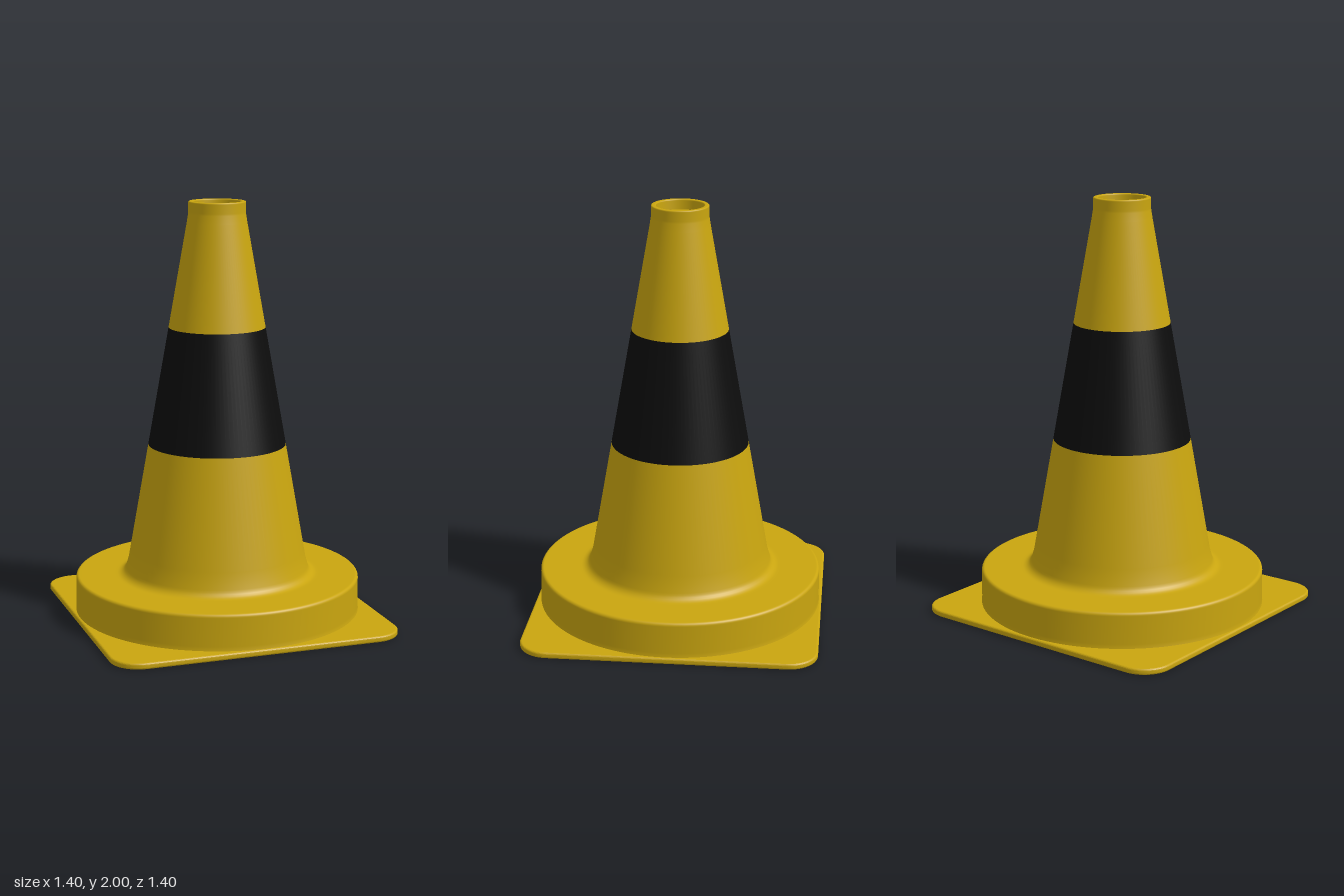
import * as THREE from 'three';

const yellow = new THREE.MeshStandardMaterial({ color: 0xc9a50f });
const black = new THREE.MeshStandardMaterial({ color: 0x0d0d0d });

// Radius of the tapering cone wall at height y
const coneRadius = (y) => 0.33 - (y - 0.84) * 0.177;

function lathe(name, points, material) {
  const profile = points.map(([r, y]) => new THREE.Vector2(r, y));
  const mesh = new THREE.Mesh(new THREE.LatheGeometry(profile, 96), material);
  mesh.name = name;
  return mesh;
}

// Points along a quarter circle, for rounded edges and fillets
function arc(cx, cy, radius, from, to, steps = 6) {
  return Array.from({ length: steps + 1 }, (_, i) => {
    const a = THREE.MathUtils.degToRad(from + ((to - from) * i) / steps);
    return [cx + radius * Math.cos(a), cy + radius * Math.sin(a)];
  });
}

// Thin square foot with rounded corners and softened edges
function basePlate() {
  const h = 0.69, r = 0.13, bevel = 0.01;
  const s = new THREE.Shape();
  s.absarc(h - r, h - r, r, 0, Math.PI / 2);
  s.absarc(r - h, h - r, r, Math.PI / 2, Math.PI);
  s.absarc(r - h, r - h, r, Math.PI, Math.PI * 1.5);
  s.absarc(h - r, r - h, r, Math.PI * 1.5, Math.PI * 2);
  s.closePath();
  const geometry = new THREE.ExtrudeGeometry(s, {
    depth: 0.01, bevelThickness: bevel, bevelSize: bevel, bevelSegments: 4, curveSegments: 16,
  });
  geometry.rotateX(-Math.PI / 2).translate(0, bevel, 0);
  const mesh = new THREE.Mesh(geometry, yellow);
  mesh.name = 'basePlate';
  return mesh;
}

export function createModel() {
  const group = new THREE.Group();
  group.name = 'trafficCone';

  group.add(basePlate());

  // Round drum, filleted into the lower cone wall
  group.add(lathe('drumAndLowerCone', [
    [0.69, 0.02], [0.687, 0.035], [0.686, 0.05], [0.685, 0.185],
    ...arc(0.67, 0.187, 0.015, 0, 90),
    [0.65, 0.202], [0.5, 0.202],
    ...arc(0.485, 0.247, 0.045, 270, 190),
    [coneRadius(0.28), 0.28], [coneRadius(0.32), 0.32], [coneRadius(0.84), 0.84],
  ], yellow));

  group.add(lathe('blackBand', [
    [coneRadius(0.84), 0.84], [coneRadius(1.405), 1.405],
  ], black));

  // Upper wall, straight collar, rim and recessed floor in the mouth
  group.add(lathe('upperConeAndRim', [
    [coneRadius(1.405), 1.405], [coneRadius(1.9), 1.9], [0.136, 1.94], [0.135, 1.95],
    [0.135, 1.992], ...arc(0.13, 1.995, 0.005, 0, 90, 3),
    [0.125, 2], [0.117, 2], ...arc(0.117, 1.995, 0.005, 90, 180, 3),
    [0.112, 1.99], [0.11, 1.952],
  ], yellow));
  group.add(lathe('mouthFloor', [[0.111, 1.952], [0, 1.952]], yellow));

  return group;
}
